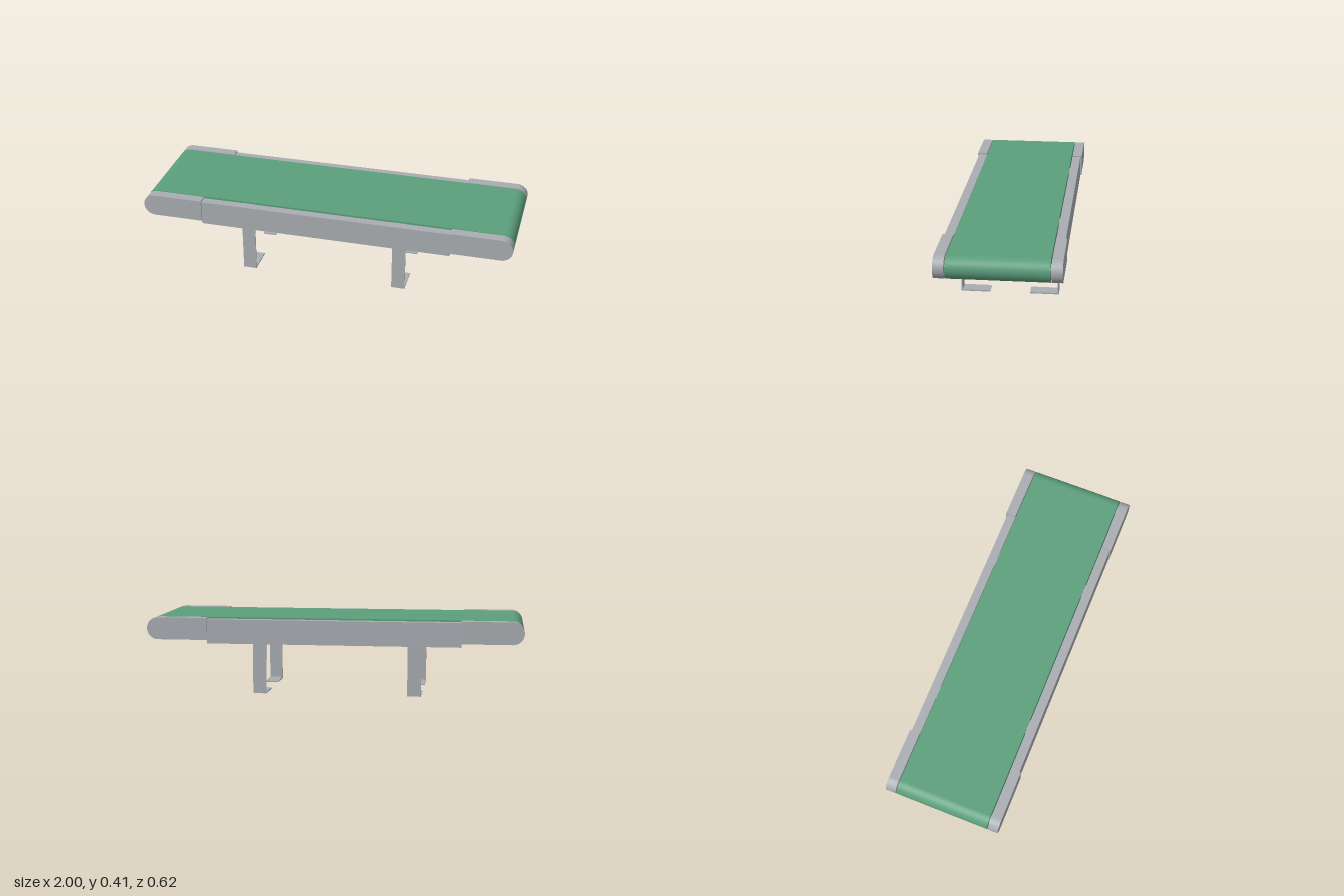
import * as THREE from 'three';

const green = new THREE.MeshStandardMaterial({ color: 0x5c9f7c });
green.name = 'belt green';
const grey = new THREE.MeshStandardMaterial({ color: 0xa9adb1 });
grey.name = 'metal grey';

const RADIUS = 0.059, MID_Y = 0.35, END_X = 0.941;

function add(parent, name, geometry, material, x, y, z) {
  const mesh = new THREE.Mesh(geometry, material);
  mesh.name = name;
  mesh.position.set(x, y, z);
  parent.add(mesh);
  return mesh;
}

// Extrude a side profile along z, centred on z = 0
function extrudeZ(shape, depth) {
  const geometry = new THREE.ExtrudeGeometry(shape, { depth, bevelEnabled: false, curveSegments: 24 });
  return geometry.translate(0, 0, -depth / 2);
}

export function createModel() {
  const group = new THREE.Group();
  group.name = 'conveyor';

  // Belt loop with round ends
  const loop = new THREE.Shape();
  loop.moveTo(-END_X, -RADIUS);
  loop.lineTo(END_X, -RADIUS);
  loop.absarc(END_X, 0, RADIUS, -Math.PI / 2, Math.PI / 2, false);
  loop.lineTo(-END_X, RADIUS);
  loop.absarc(-END_X, 0, RADIUS, Math.PI / 2, Math.PI * 1.5, false);
  add(group, 'belt', extrudeZ(loop, 0.502), green, 0, MID_Y, 0);

  // End housing profile, rounded towards +x
  const housing = new THREE.Shape();
  housing.moveTo(0.674, -RADIUS);
  housing.lineTo(END_X, -RADIUS);
  housing.absarc(END_X, 0, RADIUS, -Math.PI / 2, Math.PI / 2, false);
  housing.lineTo(0.674, RADIUS);
  housing.closePath();
  const housingGeometry = extrudeZ(housing, 0.054);
  const axleGeometry = new THREE.CylinderGeometry(0.03, 0.03, 0.56, 24).rotateX(Math.PI / 2);

  for (const side of [1, -1]) {
    // Side rail
    add(group, 'sideRail', new THREE.BoxGeometry(1.35, 0.129, 0.047), grey, 0, 0.3365, side * 0.2785);

    // Housings at both ends of the rail
    for (const end of [1, -1]) {
      const mesh = add(group, 'endHousing', housingGeometry, grey, 0, MID_Y, side * 0.283);
      if (end < 0) mesh.rotation.y = Math.PI;
    }

    // Flat legs with feet turned inwards
    for (const x of [-0.428, 0.4]) {
      const leg = new THREE.Group();
      leg.name = 'leg';
      group.add(leg);
      add(leg, 'legPost', new THREE.BoxGeometry(0.072, 0.4, 0.006), grey, x, 0.2, side * 0.2525);
      add(leg, 'foot', new THREE.BoxGeometry(0.072, 0.007, 0.145), grey, x, 0.0035, side * 0.178);
    }
  }

  // Roller axles joining the housings
  for (const end of [1, -1]) add(group, 'rollerAxle', axleGeometry, grey, end * END_X, MID_Y, 0);

  return group;
}
